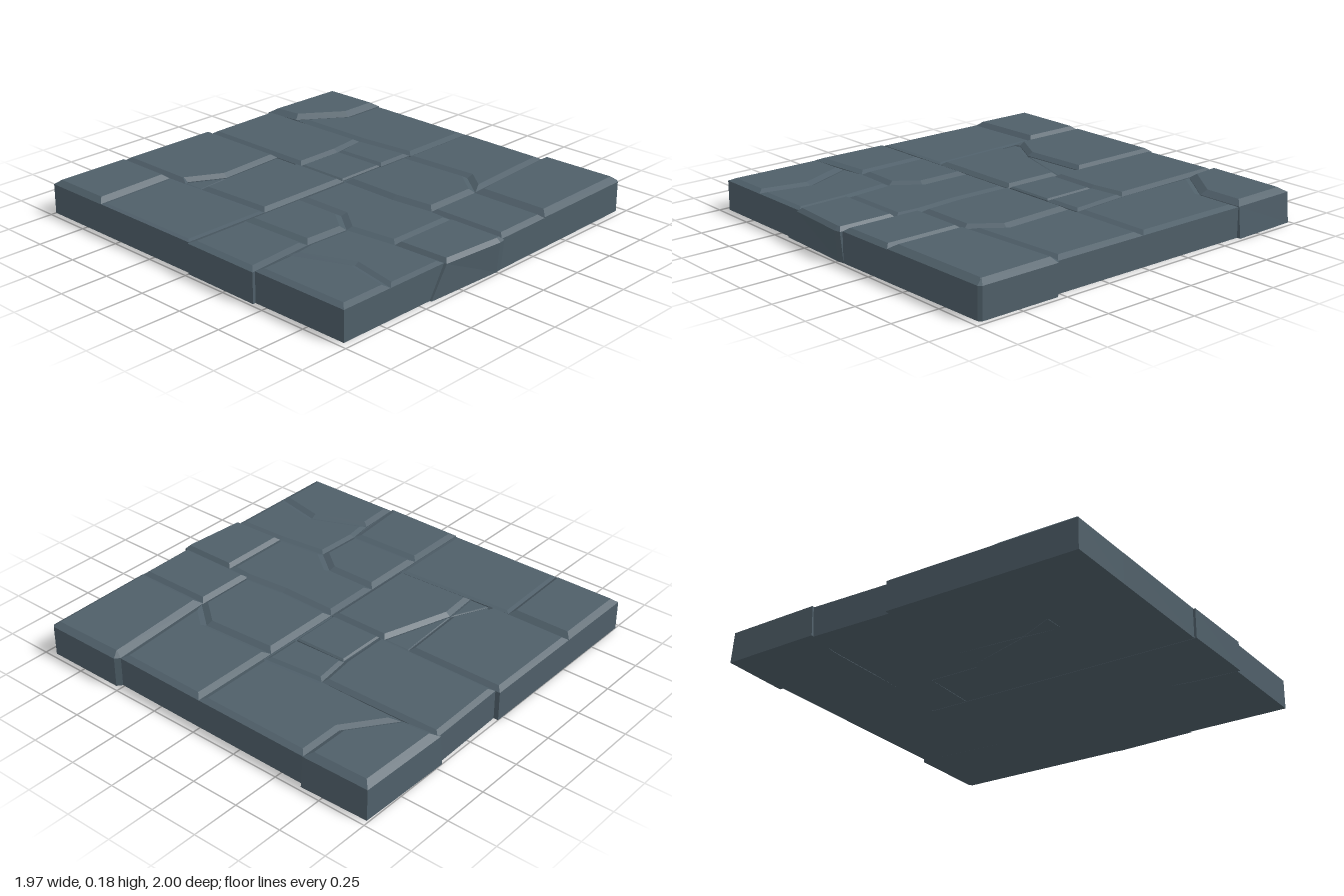
import * as THREE from 'three';

const slate = new THREE.MeshStandardMaterial({ color: 0x4f5f69 });
slate.name = 'slate';

// Moves every corner of an outline inwards, keeping its edges parallel
function inset(pts, d) {
  const n = pts.length;
  return pts.map((p, i) => {
    const e = p.clone().sub(pts[(i + n - 1) % n]).normalize();
    const f = pts[(i + 1) % n].clone().sub(p).normalize();
    const m = new THREE.Vector2(-e.y - f.y, e.x + f.x).normalize();
    const c = Math.max(0.35, m.x * -f.y + m.y * f.x);
    return p.clone().addScaledVector(m, d / c);
  });
}

// A stone with upright walls and a chamfered top; outline is [x, z] pairs
function stone(name, outline, { top = 0.168, edge = 0.152, bevel = 0.03, foot = outline } = {}) {
  let rim = outline.map(([x, z]) => new THREE.Vector2(x, z));
  let base = foot.map(([x, z]) => new THREE.Vector2(x, z));
  if (THREE.ShapeUtils.isClockWise(rim)) {
    rim.reverse();
    base.reverse();
  }
  const rings = [[base, 0], [rim, edge], [inset(rim, bevel), top]];
  const pos = [];
  const put = ([ring, y], i) => pos.push(ring[i].x, y, ring[i].y);
  for (let r = 0; r < 2; r++) {
    const lo = rings[r], hi = rings[r + 1];
    for (let i = 0; i < rim.length; i++) {
      const j = (i + 1) % rim.length;
      put(lo, i); put(hi, i); put(hi, j);
      put(lo, i); put(hi, j); put(lo, j);
    }
  }
  for (const [a, b, c] of THREE.ShapeUtils.triangulateShape(rings[2][0], [])) {
    put(rings[2], a); put(rings[2], c); put(rings[2], b);
  }
  for (const [a, b, c] of THREE.ShapeUtils.triangulateShape(base, [])) {
    put(rings[0], a); put(rings[0], b); put(rings[0], c);
  }
  const geo = new THREE.BufferGeometry();
  geo.setAttribute('position', new THREE.Float32BufferAttribute(pos, 3));
  geo.computeVertexNormals();
  const mesh = new THREE.Mesh(geo, slate);
  mesh.name = name;
  return mesh;
}

export function createModel() {
  const group = new THREE.Group();
  group.name = 'stoneFloorTile';

  // Solid bed that closes the joints
  const bed = new THREE.Mesh(new THREE.BoxGeometry(1.9, 0.146, 1.92), slate);
  bed.position.set(-0.01, 0.075, -0.015);
  bed.name = 'bed';
  group.add(bed);

  const low = { top: 0.158, edge: 0.153, bevel: 0.02 };
  const sliver = { top: 0.152, edge: 0.149, bevel: 0.008 };
  const tall = { top: 0.178, edge: 0.155, bevel: 0.035 };

  group.add(
    // Back left quarter
    stone('backLeftCorner', [[-0.97, -1], [-0.53, -1], [-0.53, -0.65], [-0.97, -0.635]], { top: 0.175, bevel: 0.028 }),
    stone('leftSlab', [[-0.97, -0.635], [-0.53, -0.65], [-0.5, -0.005], [-0.97, -0.005]], low),
    stone('crackedSlabBack', [[-0.53, -1], [0.035, -1], [0.035, -0.475], [-0.33, -0.455], [-0.5, -0.55], [-0.53, -0.53]], { top: 0.17, bevel: 0.025 }),
    stone('crackedSlabFront', [[-0.52, -0.43], [-0.33, -0.445], [0.035, -0.33], [0.035, -0.005], [-0.5, -0.005]], { bevel: 0.025 }),
    stone('crackWedgeRight', [[-0.33, -0.45], [0.035, -0.475], [0.035, -0.33]], sliver),
    stone('crackWedgeLeft', [[-0.52, -0.54], [-0.33, -0.45], [-0.52, -0.43]], sliver),

    // Back right quarter
    stone('backSlab', [[0.035, -0.975], [0.48, -0.985], [0.49, -0.33], [0.3, -0.305], [0.035, -0.305]], { top: 0.167, bevel: 0.025 }),
    stone('backRightCorner', [[0.47, -0.995], [0.96, -0.985], [0.965, -0.63], [0.72, -0.63], [0.49, -0.8]],
      { ...tall, foot: [[0.46, -1], [0.97, -0.99], [0.98, -0.63], [0.72, -0.63], [0.49, -0.8]] }),
    stone('rightSlab', [[0.49, -0.8], [0.72, -0.63], [0.96, -0.63], [0.955, 0], [0.52, 0], [0.49, -0.33]], { top: 0.165 }),
    stone('smallSquare', [[0.035, -0.3], [0.3, -0.3], [0.305, -0.015], [0.035, -0.015]], { top: 0.16, edge: 0.153, bevel: 0.01 }),
    stone('smallOblong', [[0.3, -0.305], [0.49, -0.33], [0.52, -0.01], [0.31, -0.01]], { top: 0.163, bevel: 0.02 }),

    // Front left quarter
    stone('leftBlock', [[-0.98, 0], [-0.63, 0], [-0.62, 0.4], [-0.985, 0.43]], { top: 0.165 }),
    stone('cornerCutBlock', [[-0.63, 0], [-0.28, 0], [-0.28, 0.28], [-0.38, 0.41], [-0.62, 0.4]]),
    stone('longBlock', [[-0.28, 0], [0.035, 0], [0.03, 0.32], [0.05, 0.55], [0.04, 0.68], [-0.35, 0.68], [-0.38, 0.41], [-0.28, 0.28]], { top: 0.165 }),
    stone('frontLeftCorner', [[-0.97, 0.43], [-0.75, 0.42], [-0.63, 0.7], [-0.685, 0.96], [-0.97, 0.96]], { top: 0.166 }),
    stone('frontLeftBlock', [[-0.75, 0.42], [-0.62, 0.4], [-0.38, 0.41], [-0.35, 0.68], [-0.34, 0.96], [-0.685, 0.96], [-0.63, 0.7]], { top: 0.162, bevel: 0.025 }),
    stone('frontMiddleBlock', [[-0.35, 0.68], [0.035, 0.68], [0.035, 0.995], [0, 1], [-0.34, 0.975]],
      { top: 0.17, bevel: 0.02, foot: [[-0.38, 0.68], [0.035, 0.68], [0.035, 0.98], [0, 0.985], [-0.43, 0.97]] }),

    // Front right quarter
    stone('middleBlock', [[0.035, 0], [0.47, 0], [0.49, 0.4], [0.37, 0.55], [0.05, 0.55], [0.03, 0.32]], { top: 0.17 }),
    stone('rightBlock', [[0.47, 0], [0.955, 0], [0.95, 0.51], [0.5, 0.54], [0.37, 0.55], [0.49, 0.4]]),
    stone('frontSmallBlock', [[0.035, 0.55], [0.36, 0.55], [0.36, 0.975], [0.035, 0.98]], { top: 0.17, bevel: 0.025 }),
    stone('frontRightCorner', [[0.36, 0.55], [0.95, 0.51], [0.975, 0.53], [0.975, 0.95], [0.96, 0.965], [0.36, 0.975]], tall),
  );
  return group;
}
